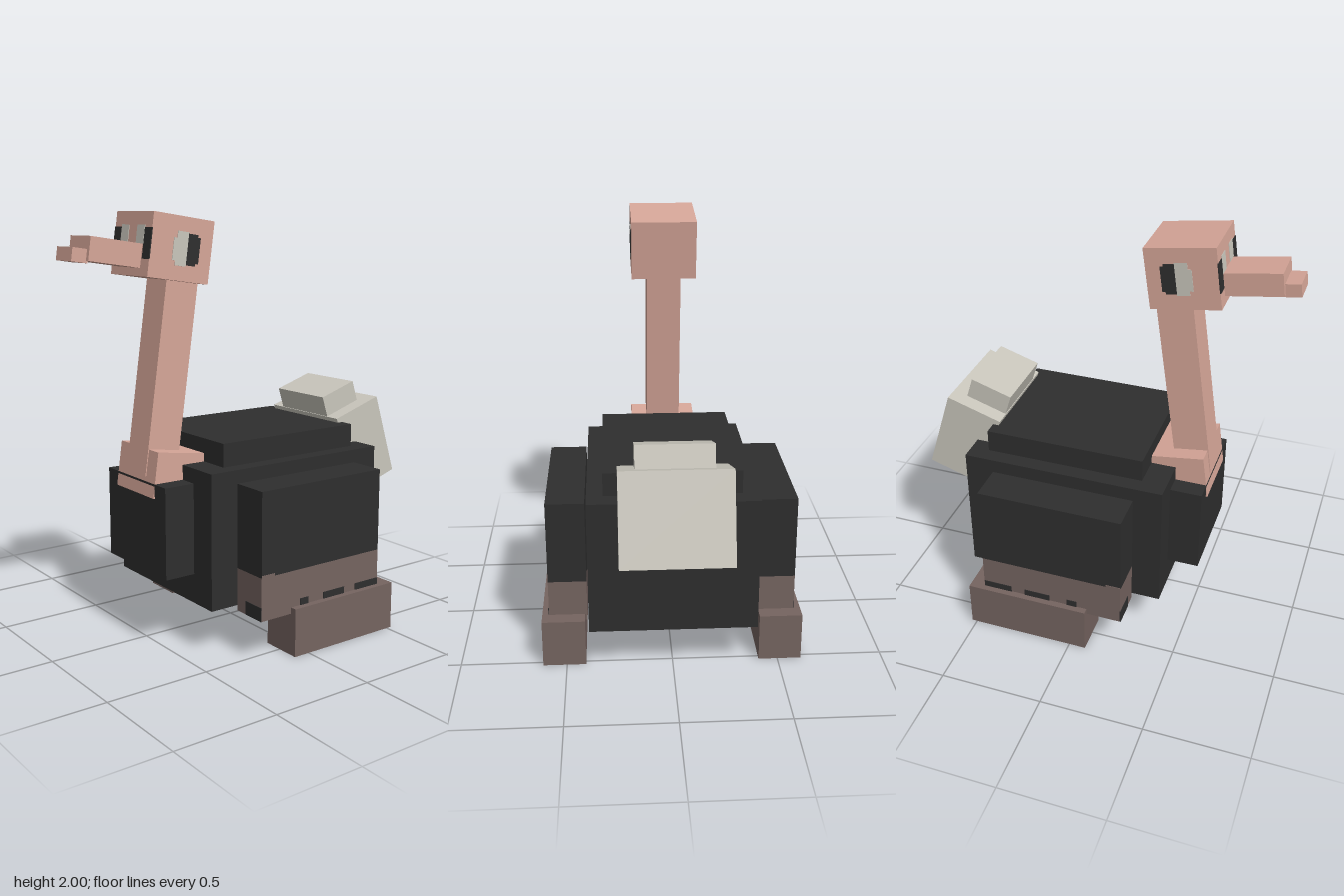
import * as THREE from 'three';

const paint = (name, color) => Object.assign(new THREE.MeshStandardMaterial({ color }), { name });

export function createModel() {
  const black = paint('black plumage', 0x2e2e2e);
  const pink = paint('pink skin', 0xd6a698);
  const brown = paint('brown leg', 0x756460);
  const grey = paint('pale feather', 0xc9c6bc);

  const model = new THREE.Group();
  model.name = 'bird';

  // Box from its size and centre, tilted about the x axis
  function box(parent, name, material, size, centre, tilt = 0) {
    const mesh = new THREE.Mesh(new THREE.BoxGeometry(...size), material);
    mesh.name = name;
    mesh.position.set(...centre);
    mesh.rotation.x = tilt;
    parent.add(mesh);
    return mesh;
  }

  // Box from its lower and upper limits on each axis
  function span(parent, name, material, [x0, x1], [y0, y1], [z0, z1]) {
    return box(parent, name, material, [x1 - x0, y1 - y0, z1 - z0],
      [(x0 + x1) / 2, (y0 + y1) / 2, (z0 + z1) / 2]);
  }

  // Torso
  span(model, 'body', black, [-0.39, 0.39], [0.22, 0.86], [-0.6, 0.39]);
  span(model, 'back', black, [-0.315, 0.315], [0.86, 0.97], [-0.51, 0.27]);
  span(model, 'chest', black, [-0.25, 0.25], [0.36, 0.79], [0.39, 0.543]);

  // Tail leaning forward
  box(model, 'tail', grey, [0.5, 0.42, 0.283], [0, 0.833, -0.672], 0.31);
  box(model, 'tailTop', grey, [0.35, 0.105, 0.21], [0, 1.073, -0.56], 0.31);

  // Neck leaning backward
  const lean = -0.142;
  box(model, 'neckBase', pink, [0.323, 0.213, 0.323], [0, 0.807, 0.376], lean);
  box(model, 'neck', pink, [0.166, 0.95, 0.17], [0, 1.27, 0.3915], lean);

  // Head, with the beak and eyes in its own tilted frame
  const head = new THREE.Group();
  head.name = 'head';
  head.position.set(0, 1.839, 0.383);
  head.rotation.x = lean;
  model.add(head);
  box(head, 'skull', pink, [0.314, 0.284, 0.323], [0, 0, 0]);
  span(head, 'beak', pink, [-0.09, 0.09], [-0.106, 0], [0.16, 0.419]);
  span(head, 'beakTip', pink, [-0.07, 0.07], [-0.116, -0.056], [0.41, 0.489]);

  for (const s of [-1, 1]) {
    const side = s < 0 ? 'right' : 'left';
    const mirror = (a, b) => (s > 0 ? [a, b] : [-b, -a]);

    // Eyes on the sides of the head, stepped at the ends
    const skin = mirror(0.155, 0.16);
    span(head, side + 'EyeWhite', grey, skin, [-0.076, 0.076], [-0.03, 0.028]);
    span(head, side + 'EyeWhiteEdge', grey, skin, [-0.055, 0.045], [0.028, 0.045]);
    span(head, side + 'EyeDark', black, skin, [-0.07, 0.07], [-0.08, -0.03]);
    span(head, side + 'EyeDarkEdge', black, skin, [-0.058, 0.058], [-0.095, -0.08]);

    // Eye markings wrapping onto the face
    span(head, side + 'FaceDark', black, mirror(0.1, 0.158), [-0.065, 0.073], [0.159, 0.164]);
    span(head, side + 'FaceWhite', grey, mirror(0.035, 0.098), [0, 0.083], [0.159, 0.164]);

    // Legs: black thigh above a brown shank, on a long foot
    const leg = new THREE.Group();
    leg.name = side + 'Leg';
    model.add(leg);
    const width = mirror(0.4, 0.58);
    span(leg, 'thigh', black, width, [0.403, 0.8], [-0.455, 0.253]);
    span(leg, 'shank', brown, width, [0.2, 0.403], [-0.455, 0.253]);
    span(leg, 'foot', brown, mirror(0.41, 0.612), [0, 0.23], [-0.525, 0.082]);

    // Uneven edge and dark patches on the shank
    const outer = mirror(0.578, 0.583);
    span(leg, 'shankStep', brown, outer, [0.4, 0.415], [0.18, 0.253]);
    for (const [z0, z1] of [[-0.02, 0.03], [-0.24, -0.11], [-0.453, -0.31]])
      span(leg, 'sidePatch', black, outer, [0.2, 0.262], [z0, z1]);
    span(leg, 'frontPatch', black, mirror(0.464, 0.58), [0.2, 0.265], [0.251, 0.256]);
  }
  return model;
}
